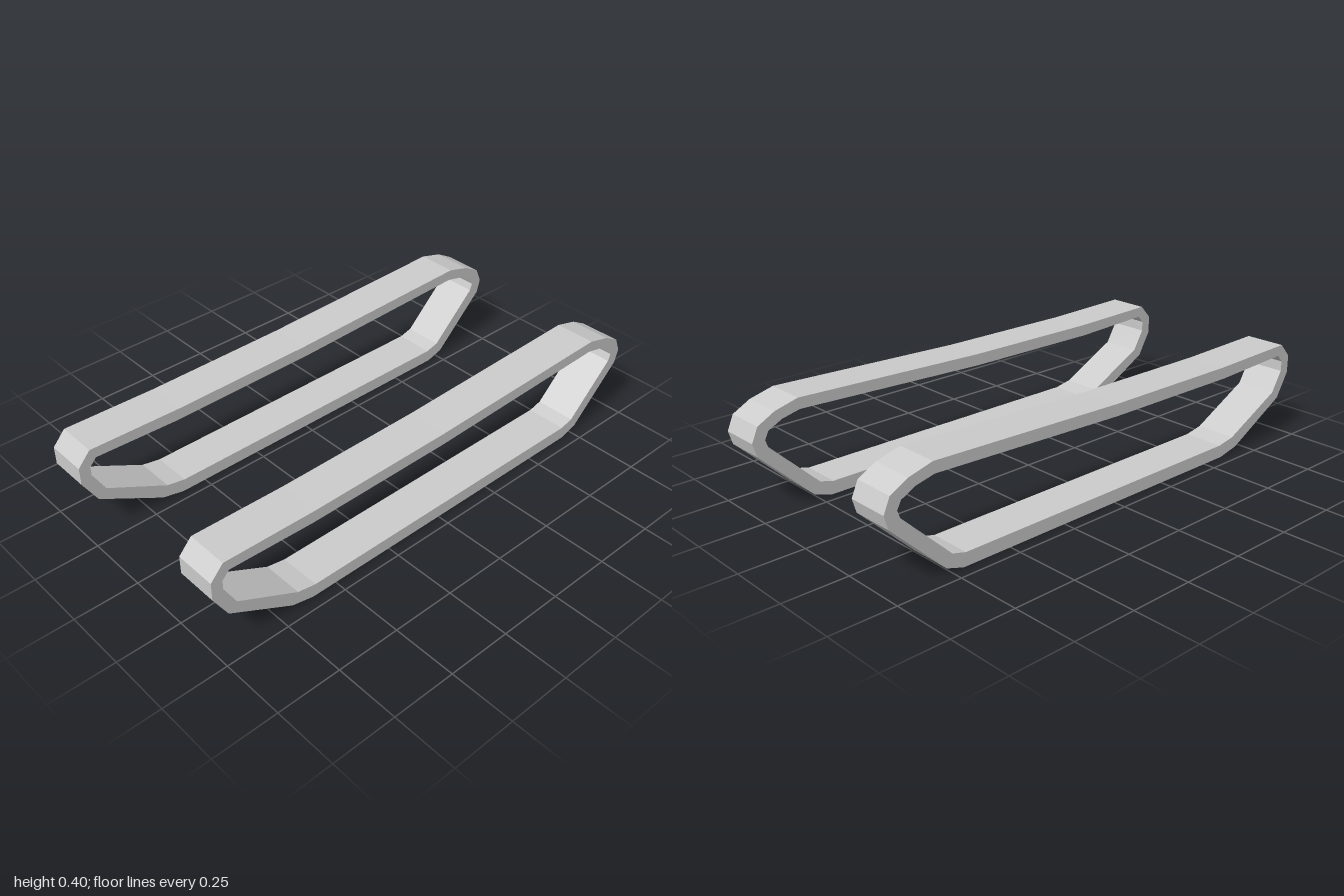
import * as THREE from 'three';

// Side profile of the track band, running clockwise from the upper -x corner
const outer = [
  [-0.95, 0.38], [-0.58, 0.372], [0, 0.376], [0.81, 0.402], [0.905, 0.377],
  [0.975, 0.339], [1, 0.282], [0.985, 0.23], [0.77, 0.022], [0.7, 0],
  [-0.6, 0], [-0.69, 0.02], [-0.945, 0.16], [-1, 0.255], [-1, 0.325],
];
const inner = [
  [-0.93, 0.339], [-0.59, 0.326], [0, 0.33], [0.805, 0.359], [0.878, 0.342],
  [0.935, 0.313], [0.95, 0.283], [0.94, 0.255], [0.745, 0.066], [0.69, 0.051],
  [-0.59, 0.051], [-0.665, 0.065], [-0.91, 0.19], [-0.957, 0.27], [-0.957, 0.31],
];
const width = 0.162;
const trackZ = 0.371;

const toPoints = (list) => list.map(([x, y]) => new THREE.Vector2(x, y));

export function createModel() {
  const group = new THREE.Group();
  group.name = 'trackPair';
  const material = new THREE.MeshStandardMaterial({ color: 0xcccccc, flatShading: true });

  // Closed band extruded across its width; the hole winds opposite to the rim
  const shape = new THREE.Shape(toPoints(outer));
  shape.holes.push(new THREE.Path(toPoints(inner).reverse()));
  const geometry = new THREE.ExtrudeGeometry(shape, { depth: width, bevelEnabled: false });
  geometry.translate(0, 0, -width / 2);

  // One band on each side
  for (const [name, side] of [['frontTrack', 1], ['backTrack', -1]]) {
    const track = new THREE.Mesh(geometry, material);
    track.name = name;
    track.position.z = side * trackZ;
    group.add(track);
  }
  return group;
}
